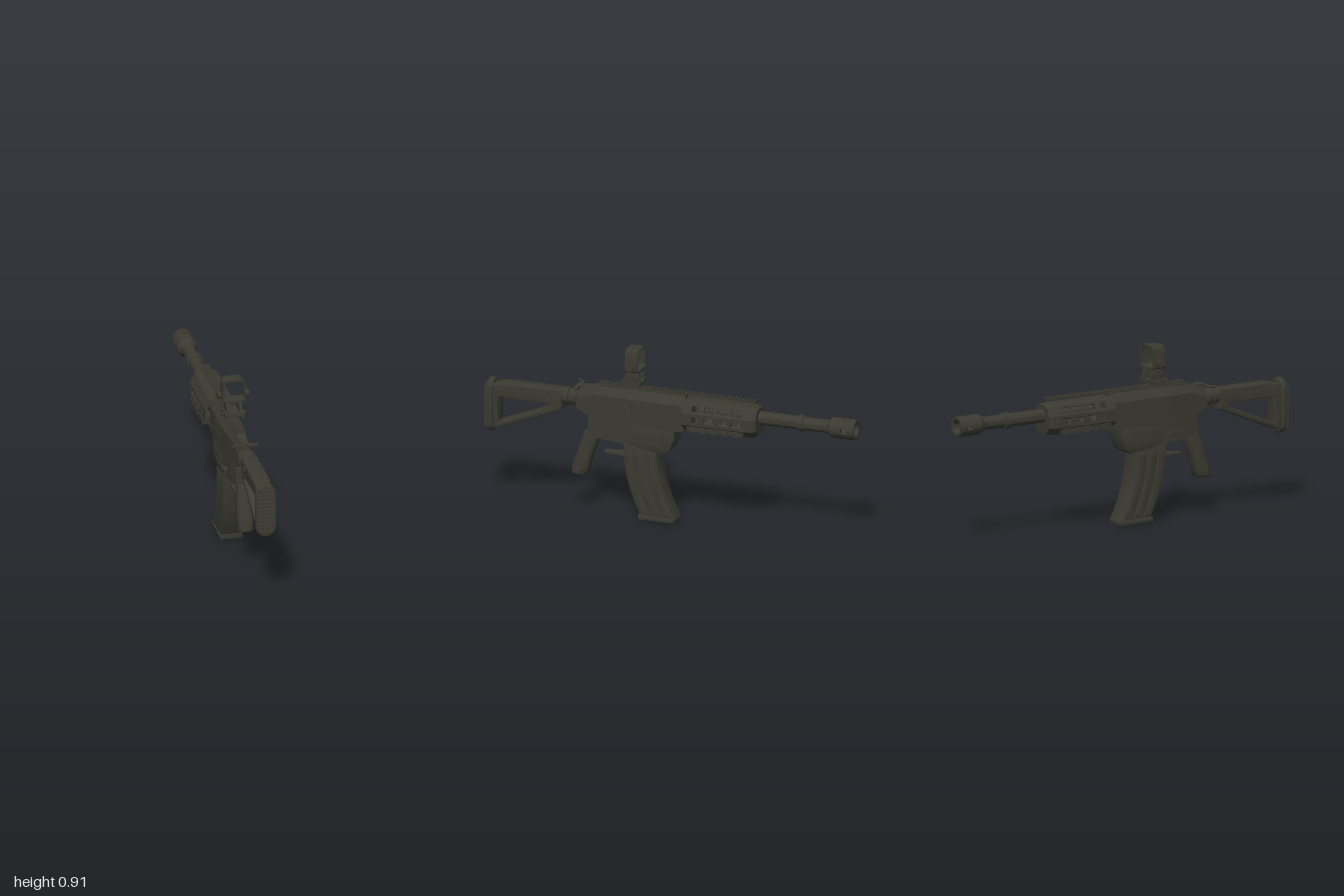
import * as THREE from 'three';
import { toCreasedNormals } from 'three/addons/utils/BufferGeometryUtils.js';

export function createModel() {
  const root = new THREE.Group();
  const mat = new THREE.MeshStandardMaterial({ color: 0x3a3a31 });
  mat.name = 'dark olive';

  const add = (name, geo, x = 0, y = 0, z = 0) => {
    const m = new THREE.Mesh(geo, mat);
    m.name = name;
    m.position.set(x, y, z);
    root.add(m);
    return m;
  };
  const box = (name, w, h, d, x, y, z) => add(name, new THREE.BoxGeometry(w, h, d), x, y, z);
  const shapeOf = (pts, holes = []) => {
    const s = new THREE.Shape(pts.map(p => new THREE.Vector2(...p)));
    holes.forEach(h => s.holes.push(new THREE.Path(h.map(p => new THREE.Vector2(...p)))));
    return s;
  };
  // outline in (z, y), extruded across x
  const side = (name, pts, half, bevel = 0.008, holes = [], x = 0) => {
    const g = new THREE.ExtrudeGeometry(shapeOf(pts, holes), {
      depth: 2 * (half - bevel), bevelEnabled: bevel > 0, bevelSize: bevel, bevelOffset: -bevel,
      bevelThickness: bevel, bevelSegments: 2, curveSegments: 8 });
    g.translate(0, 0, bevel - half).rotateY(-Math.PI / 2);
    return add(name, toCreasedNormals(g, 0.6), x);
  };
  // turned part along z; points are [radius, z], running towards -z
  const turned = (name, pts, y, crease = 0.5) => {
    const g = new THREE.LatheGeometry(pts.map(([r, z]) => new THREE.Vector2(r, -z)), 28);
    g.rotateX(-Math.PI / 2);
    return add(name, toCreasedNormals(g, crease), 0, y);
  };
  // skin over closed rings of [x, y, z], with end caps
  const loft = (name, rings, crease = 0.5) => {
    const v = [], n = rings[0].length, tri = (...t) => t.forEach(p => v.push(...p));
    for (let i = 0; i < rings.length - 1; i++) for (let j = 0; j < n; j++) {
      const k = (j + 1) % n, [a, b, c, d] = [rings[i][j], rings[i][k], rings[i + 1][k], rings[i + 1][j]];
      tri(a, b, c); tri(a, c, d);
    }
    const r0 = rings[0], r1 = rings[rings.length - 1];
    for (let j = 1; j < n - 1; j++) { tri(r0[0], r0[j + 1], r0[j]); tri(r1[0], r1[j], r1[j + 1]); }
    const g = new THREE.BufferGeometry();
    g.setAttribute('position', new THREE.Float32BufferAttribute(v, 3));
    return add(name, toCreasedNormals(g, crease));
  };

  // receiver, tapering towards the stock
  const section = ([z, w, y0, y1]) =>
    [[w, y0], [w, y1 - 0.045], [w * 0.5, y1], [-w * 0.5, y1], [-w, y1 - 0.045], [-w, y0]].map(p => [...p, z]);
  loft('receiver', [[-0.085, 0.058, 0.503, 0.687], [0.2, 0.058, 0.503, 0.687],
    [0.4, 0.042, 0.503, 0.685], [0.51, 0.032, 0.555, 0.655]].map(section), 0.2);
  box('receiverFrontCollar', 0.1, 0.14, 0.03, 0, 0.59, -0.095);

  // lower receiver and magazine well
  side('magazineWell', [[0.21, 0.51], [0.21, 0.395], [0.035, 0.368], [-0.005, 0.39], [-0.032, 0.45], [-0.032, 0.51]], 0.057);
  loft('lowerReceiver', [[0.2, 0.055, 0.395], [0.4, 0.045, 0.412], [0.44, 0.04, 0.425]].map(([z, w, y]) =>
    [[w, y], [w, 0.51], [-w, 0.51], [-w, y]].map(p => [...p, z])), 0.3);
  const frame = (name, z0, z1, y0, y1, x) => {
    const t = 0.006;
    side(name, [[z0, y0], [z1, y0], [z1, y1], [z0, y1]], 0.003, 0,
      [[[z0 + t, y0 + t], [z0 + t, y1 - t], [z1 - t, y1 - t], [z1 - t, y0 + t]]], x);
  };
  for (const s of [-1, 1]) {
    frame('ejectionPortFrame', 0.06, 0.2, 0.575, 0.63, s * 0.059);
    frame('wellPanelFrame', 0.03, 0.165, 0.42, 0.475, s * 0.058);
    for (const [y, z] of [[0.545, 0.1], [0.545, -0.03], [0.47, 0.39], [0.55, 0.33]])
      add('pin', new THREE.CylinderGeometry(0.008, 0.008, 0.012, 12).rotateZ(Math.PI / 2),
        s * (z > 0.2 ? 0.046 : 0.057), y, z);
  }
  add('selectorButton', new THREE.CylinderGeometry(0.012, 0.012, 0.035, 14).rotateZ(Math.PI / 2), -0.06, 0.45, 0.29);
  box('selectorLever', 0.01, 0.016, 0.08, -0.07, 0.455, 0.3);

  // cocking handle with a hooked end
  box('handleBar', 0.12, 0.012, 0.02, 0, 0.664, 0.5);
  box('handleSlide', 0.04, 0.02, 0.14, 0, 0.664, 0.44);
  add('handleHook', new THREE.TubeGeometry(new THREE.CatmullRomCurve3([[-0.03, 0.664, 0.5],
    [-0.06, 0.664, 0.505], [-0.074, 0.664, 0.515], [-0.079, 0.668, 0.53]].map(p => new THREE.Vector3(...p))), 10, 0.007, 8));

  // top rail
  box('railBase', 0.05, 0.014, 0.47, 0, 0.686, 0.15);
  box('railStrip', 0.034, 0.006, 0.84, 0, 0.693, -0.035);
  for (let i = 0; i < 42; i++) box('railTooth', 0.042, 0.008, 0.011, 0, 0.699, 0.379 - i * 0.0202);

  // slotted handguard made of flat panels round the barrel
  const ring = [[0.045, 0.517], [0.084, 0.555], [0.084, 0.618], [0.058, 0.667], [0.03, 0.675]];
  const loop = [...ring, ...ring.map(([x, y]) => [-x, y]).reverse()];
  const slots = [[0.055, 0.09], [0.12, 0.18], [0.195, 0.255], [0.27, 0.33]];
  loop.forEach(([x, y], i) => {
    const [x2, y2] = loop[(i + 1) % loop.length], len = Math.hypot(x2 - x, y2 - y);
    const v = new THREE.Vector3((x2 - x) / len, (y2 - y) / len, 0), u = new THREE.Vector3(0, 0, -1);
    const a = len * 0.24, b = len * 0.76;
    const holes = len < 0.035 || y + y2 > 1.34 ? [] :
      slots.map(([p, q]) => [[p, a], [p, b], [q - 0.008, b], [q, b - 0.008], [q, a]]);
    const g = new THREE.ExtrudeGeometry(shapeOf([[0, 0], [0.345, 0], [0.345, len], [0, len]], holes),
      { depth: 0.009, bevelEnabled: false });
    g.translate(0, 0, -0.009);
    g.applyMatrix4(new THREE.Matrix4().makeBasis(u, v, u.clone().cross(v)).setPosition(x, y, -0.08));
    add('handguardPanel', g);
  });
  const hoop = (z, k) => loop.map(([x, y]) => [x * k, 0.6 + (y - 0.6) * (k + 1) / 2, z]);
  loft('handguardNose', [hoop(-0.478, 0.8), hoop(-0.46, 0.92), hoop(-0.425, 1)], 0.2);
  for (const s of [-1, 1]) {
    box('handguardSideRail', 0.014, 0.022, 0.3, s * 0.077, 0.537, -0.26);
    for (let i = 0; i < 5; i++) box('sideRailLug', 0.014, 0.03, 0.03, s * 0.08, 0.535, -0.14 - i * 0.06);
  }

  // barrel and muzzle brake
  const by = 0.614;
  turned('barrel', [[0, -0.19], [0.035, -0.19], [0.035, -0.69], [0.043, -0.693], [0.043, -0.717], [0.035, -0.72],
    [0.033, -0.83], [0.037, -0.838], [0.037, -0.85], [0.053, -0.872], [0.053, -0.93], [0.032, -0.93], [0.032, -0.9], [0, -0.9]], by);
  turned('muzzleRing', [[0.032, -0.96], [0.053, -0.96], [0.053, -0.995], [0.05, -1], [0.036, -1], [0.032, -0.996], [0.032, -0.96]], by);
  for (let i = 0; i < 4; i++) {
    const a = i * Math.PI / 2 + 0.25, b = a + Math.PI / 2 - 0.5, s = new THREE.Shape();
    s.absarc(0, 0, 0.053, a, b, false);
    s.absarc(0, 0, 0.032, b, a, true);
    add('muzzlePortWall', toCreasedNormals(new THREE.ExtrudeGeometry(s, { depth: 0.03, bevelEnabled: false, curveSegments: 6 }), 0.5), 0, by, -0.96);
  }

  // curved magazine with raised side bands
  const magZ = (y, f) => 0.155 + 0.091 * (1 - Math.pow((0.4 - y) / 0.37, 2.1)) - 0.182 * f;
  const magOutline = (f0, f1, y0, y1) => {
    const ys = Array.from({ length: 9 }, (_, i) => y0 + (y1 - y0) * i / 8);
    return [...ys.map(y => [magZ(y, f1), y]).reverse(), ...ys.map(y => [magZ(y, f0), y])].reverse();
  };
  side('magazine', magOutline(0, 1, 0.02, 0.395), 0.054, 0.01);
  for (const [f0, f1] of [[0.05, 0.3], [0.36, 0.62], [0.68, 0.95]])
    side('magazineBand', magOutline(f0, f1, 0.04, 0.37), 0.058, 0.004);
  side('magazineFoot', [[0.162, 0.004], [0.162, 0.027], [-0.026, 0.027], [-0.026, 0.004]], 0.06, 0.006);
  box('magazineFootPlate', 0.03, 0.006, 0.08, 0, 0.003, 0.07);

  // trigger paddle behind the magazine
  side('triggerPaddle', [[0.36, 0.322], [0.36, 0.338], [0.24, 0.344], [0.22, 0.318]], 0.02, 0.004);

  // grip
  const gripRing = ([y, zc, hw, hd]) => Array.from({ length: 24 }, (_, i) => {
    const a = i / 24 * 2 * Math.PI, p = t => Math.sign(t) * Math.pow(Math.abs(t), 0.7);
    return [hw * p(Math.sin(a)), y, zc + hd * p(Math.cos(a))];
  });
  loft('grip', [[0.193, 0.492, 0.032, 0.034], [0.203, 0.492, 0.041, 0.044], [0.24, 0.487, 0.042, 0.047], [0.31, 0.464, 0.04, 0.044],
    [0.37, 0.445, 0.038, 0.045], [0.405, 0.436, 0.036, 0.042], [0.43, 0.432, 0.034, 0.036]].map(gripRing), 0.7);

  // neck and skeleton stock
  turned('stockNeck', [[0, 0.6], [0.042, 0.6], [0.042, 0.565], [0.048, 0.562], [0.048, 0.55], [0.04, 0.547], [0.04, 0.535],
    [0.048, 0.532], [0.048, 0.518], [0.04, 0.505], [0, 0.505]], 0.604);
  side('stockFrame', [[0.957, 0.393], [0.957, 0.625], [0.93, 0.63], [0.888, 0.64], [0.583, 0.64], [0.583, 0.535], [0.92, 0.395]], 0.042, 0.01,
    [[[0.925, 0.563], [0.642, 0.557], [0.642, 0.541], [0.925, 0.427]]]);
  side('stockCheekRidge', [[0.87, 0.622], [0.87, 0.632], [0.64, 0.632], [0.64, 0.622]], 0.044, 0.002);
  add('stockPin', new THREE.CylinderGeometry(0.011, 0.011, 0.096, 14).rotateZ(Math.PI / 2), 0, 0.555, 0.615);
  box('stockLatch', 0.1, 0.02, 0.02, 0, 0.61, 0.67);

  // ribbed shoulder pad
  const padShape = new THREE.Shape();
  padShape.absarc(0, 0.6, 0.045, 0, Math.PI, false);
  padShape.absarc(0, 0.42, 0.045, Math.PI, 2 * Math.PI, false);
  add('shoulderPad', toCreasedNormals(new THREE.ExtrudeGeometry(padShape, { depth: 0.012, bevelSize: 0.008,
    bevelThickness: 0.01, bevelSegments: 3, curveSegments: 16 }), 0.7), 0, 0, 0.963);
  for (let i = 0; i < 12; i++) {
    const y = 0.4 + i * 0.02, edge = Math.max(0, 0.43 - y, y - 0.59);
    box('padRib', 2 * Math.sqrt(0.045 ** 2 - edge ** 2), 0.011, 0.04, 0, y, 0.98);
  }

  // open reflex sight: rounded window frame on two posts
  const windowShape = (t) => {
    const c = [[-0.064 + t, 0.787 + t], [0.064 - t, 0.787 + t], [0.053 - t, 0.908 - t], [-0.053 + t, 0.908 - t]];
    const s = new THREE.Shape(), at = (p, q, r) => {
      const d = Math.hypot(q[0] - p[0], q[1] - p[1]);
      return [p[0] + (q[0] - p[0]) * r / d, p[1] + (q[1] - p[1]) * r / d];
    };
    c.forEach((p, i) => {
      const start = at(p, c[(i + 3) % 4], 0.022 - t), end = at(p, c[(i + 1) % 4], 0.022 - t);
      i ? s.lineTo(...start) : s.moveTo(...start);
      s.quadraticCurveTo(...p, ...end);
    });
    s.closePath();
    return s;
  };
  const win = windowShape(0);
  win.holes.push(windowShape(0.008));
  add('sightWindow', toCreasedNormals(new THREE.ExtrudeGeometry(win, { depth: 0.07, bevelEnabled: false, curveSegments: 6 }), 0.6), 0, 0, 0.162);
  for (const s of [-1, 1]) {
    add('sightKnob', new THREE.CylinderGeometry(0.015, 0.015, 0.022, 16).rotateZ(Math.PI / 2), s * 0.072, 0.82, 0.197);
    add('sightKnobRim', new THREE.CylinderGeometry(0.02, 0.02, 0.009, 16).rotateZ(Math.PI / 2), s * 0.073, 0.82, 0.197);
    side('sightPost', [[0.25, 0.732], [0.228, 0.79], [0.165, 0.79], [0.155, 0.732]], 0.007, 0.002, [], s * 0.033);
    add('clampBolt', new THREE.CylinderGeometry(0.009, 0.009, 0.016, 12).rotateZ(Math.PI / 2), s * 0.056, 0.717, 0.2);
    box('clampJaw', 0.014, 0.024, 0.1, s * 0.043, 0.718, 0.205);
  }
  box('sightBase', 0.1, 0.014, 0.105, 0, 0.726, 0.205);
  box('sightBridge', 0.08, 0.008, 0.065, 0, 0.783, 0.197);
  return root;
}
